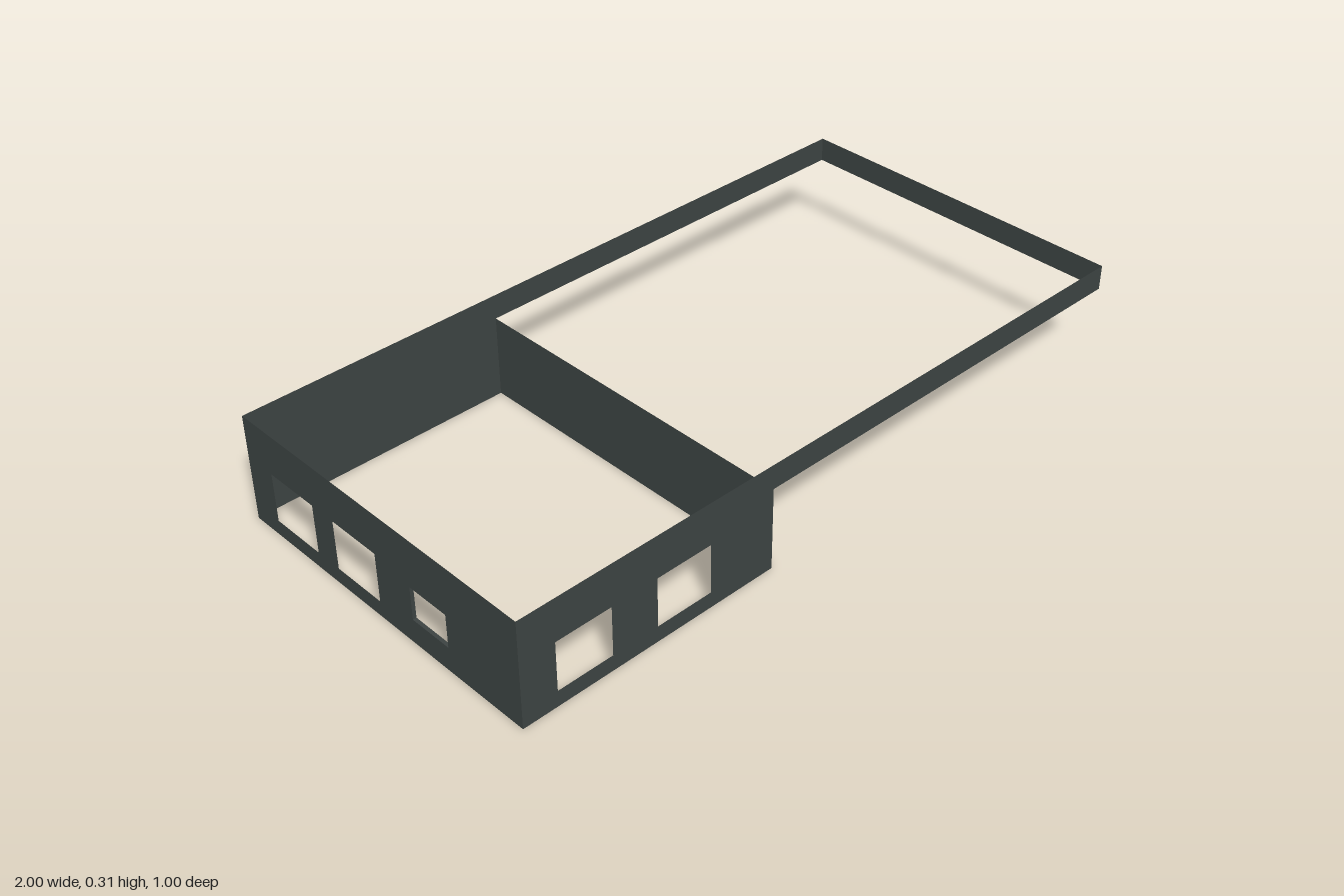
import * as THREE from 'three';

const TOP = 0.305, BAND = 0.235, DIVIDER_X = -0.24, HALF = 0.5;

// Counter-clockwise loop from [x, y] pairs
const loop = (pts) => pts.map(([x, y]) => new THREE.Vector2(x, y));
const rect = (x0, x1, y0, y1) => loop([[x0, y0], [x1, y0], [x1, y1], [x0, y1]]);

export function createModel() {
  const model = new THREE.Group();
  const slate = new THREE.MeshStandardMaterial({ color: 0x3c4342, side: THREE.DoubleSide });
  slate.name = 'dark slate';

  // Paper-thin wall with openings; across = true maps shape x to world z
  function wall(name, outline, openings, at, across = false) {
    const shape = new THREE.Shape(outline);
    openings.forEach((o) => shape.holes.push(new THREE.Path(rect(...o))));
    const geometry = new THREE.ShapeGeometry(shape);
    if (across) geometry.rotateY(-Math.PI / 2).translate(at, 0, 0);
    else geometry.translate(0, 0, at);
    const mesh = new THREE.Mesh(geometry, slate);
    mesh.name = name;
    model.add(mesh);
  }

  // Long sides: room wall stepping up into the roof fascia
  const longSide = loop([[-1, 0], [DIVIDER_X, 0], [DIVIDER_X, BAND], [1, BAND], [1, TOP], [-1, TOP]]);
  wall('frontWall', longSide, [[-0.9, -0.74, 0.045, 0.185], [-0.605, -0.44, 0.045, 0.185]], HALF);
  wall('backWall', longSide, [], -HALF);

  // End wall with two large windows and one small one
  const small = [0.125, 0.252, 0.07, 0.165];
  wall('endWall', rect(-HALF, HALF, 0, TOP),
    [[-0.405, -0.24, 0.045, 0.185], [-0.16, 0.0, 0.045, 0.185], small], -1, true);

  // Fascia closing the open end
  wall('endFascia', rect(-HALF, HALF, BAND, TOP), [], 1, true);

  // Room divider with a doorway cut from its lower edge
  wall('dividerWall', loop([[-HALF, 0], [0.378, 0], [0.378, 0.165], [0.475, 0.165],
    [0.475, 0], [HALF, 0], [HALF, BAND], [-HALF, BAND]]), [], DIVIDER_X, true);

  // Shallow reveal lining the small window
  const [z0, z1, y0, y1] = small, depth = 0.01;
  const reveal = new THREE.Group();
  reveal.name = 'smallWindowReveal';
  for (const y of [y0, y1]) {
    const strip = new THREE.Mesh(new THREE.PlaneGeometry(depth, z1 - z0).rotateX(-Math.PI / 2), slate);
    strip.name = y === y0 ? 'sill' : 'lintel';
    strip.position.set(-1 + depth / 2, y, (z0 + z1) / 2);
    reveal.add(strip);
  }
  for (const z of [z0, z1]) {
    const strip = new THREE.Mesh(new THREE.PlaneGeometry(depth, y1 - y0), slate);
    strip.name = 'jamb';
    strip.position.set(-1 + depth / 2, (y0 + y1) / 2, z);
    reveal.add(strip);
  }
  model.add(reveal);

  return model;
}
